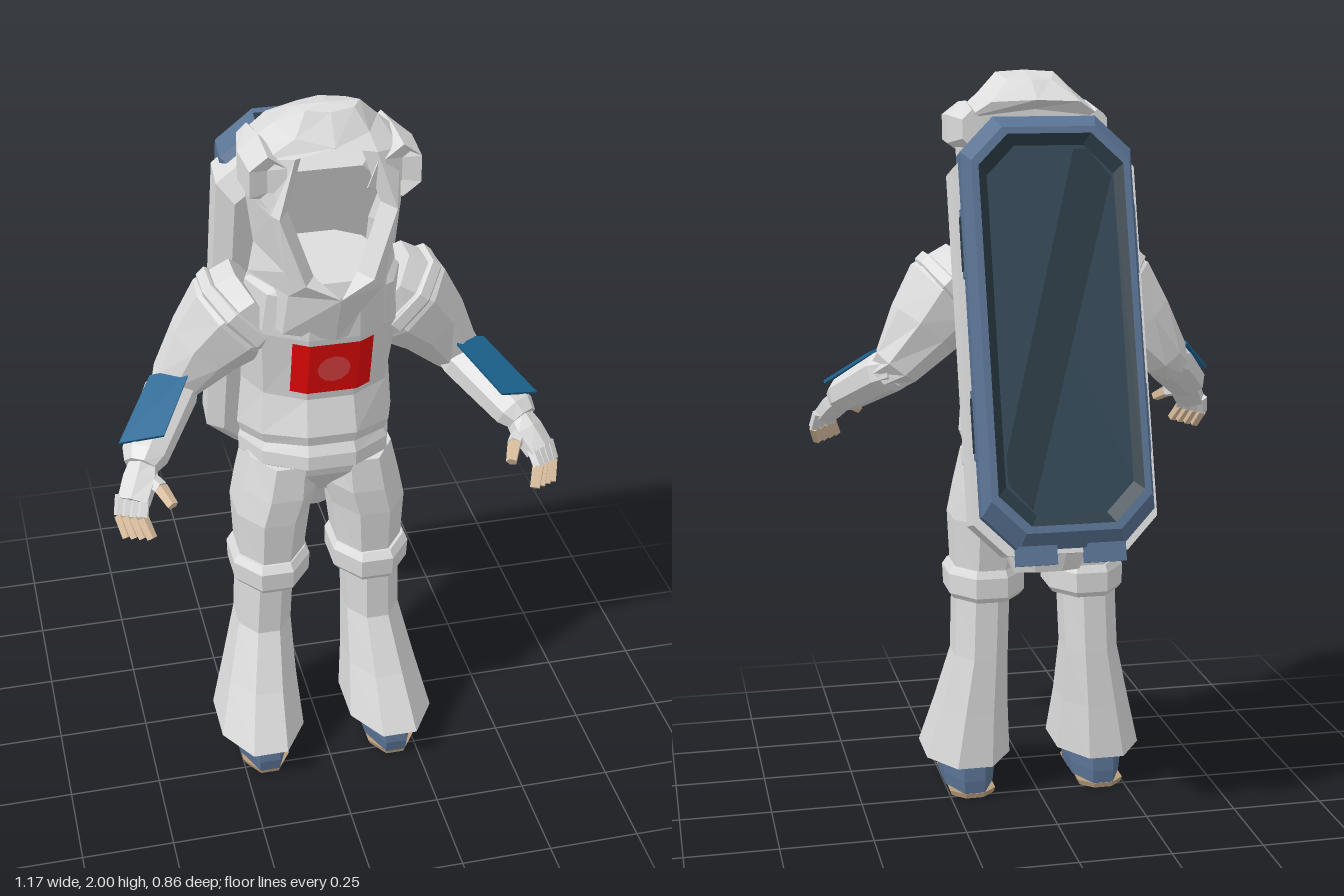
import * as THREE from 'three';

const mat = (name, color, side = THREE.FrontSide) =>
  Object.assign(new THREE.MeshStandardMaterial({ color, flatShading: true, side }), { name });

// Skin a stack of cross-sections; faces are turned outward by signed volume.
function loft(rings, { closed = true, caps = true } = {}) {
  const n = rings[0].length, tris = [];
  const V = rings.map(r => r.map(p => new THREE.Vector3(...p)));
  const mean = a => a.reduce((s, p) => s.add(p), new THREE.Vector3()).divideScalar(a.length);
  const mid = mean(V.flat());
  for (let i = 0; i < V.length - 1; i++)
    for (let j = 0; j < (closed ? n : n - 1); j++) {
      const k = (j + 1) % n;
      tris.push([V[i][j], V[i][k], V[i + 1][k]], [V[i][j], V[i + 1][k], V[i + 1][j]]);
    }
  if (closed && caps) {
    const a = V[0], b = V[V.length - 1], ca = mean(a), cb = mean(b);
    for (let j = 0; j < n; j++) {
      const k = (j + 1) % n;
      tris.push([ca, a[k], a[j]], [cb, b[j], b[k]]);
    }
  }
  let vol = 0;
  const d = p => p.clone().sub(mid);
  for (const [a, b, c] of tris) vol += d(a).dot(d(b).cross(d(c)));
  const pos = [];
  for (const t of tris) {
    const area = d(t[1]).sub(d(t[0])).cross(d(t[2]).sub(d(t[0]))).length();
    if (area < 1e-9) continue;
    for (const p of vol < 0 ? [t[0], t[2], t[1]] : t) pos.push(p.x, p.y, p.z);
  }
  const g = new THREE.BufferGeometry();
  g.setAttribute('position', new THREE.Float32BufferAttribute(pos, 3));
  g.computeVertexNormals();
  return g;
}

// Level or tilted polygon ring with a flat side to the front.
function ring(cx, yFront, yBack, rx, zf, zb, n = 10) {
  const k = 1 / Math.cos(Math.PI / n);
  return Array.from({ length: n }, (_, i) => {
    const a = (i + 0.5) / n * Math.PI * 2, c = Math.cos(a) * k;
    return [cx + Math.sin(a) * rx * (n % 4 ? 1 : k), yBack + (yFront - yBack) * (c + 1) / 2,
      (zf + zb) / 2 + c * (zf - zb) / 2];
  });
}

// Limb through stations [x, y, z, half width, half height].
function sweep(st, n = 8) {
  const P = st.map(s => new THREE.Vector3(s[0], s[1], s[2]));
  return loft(st.map((s, i) => {
    const dir = P[Math.min(i + 1, P.length - 1)].clone().sub(P[Math.max(i - 1, 0)]).normalize();
    const u = new THREE.Vector3(0, 1, 0).cross(dir).normalize(), v = dir.clone().cross(u);
    return Array.from({ length: n }, (_, j) => {
      const a = (j + 0.5) / n * Math.PI * 2;
      return P[i].clone().addScaledVector(u, Math.cos(a) * s[3]).addScaledVector(v, Math.sin(a) * s[4]).toArray();
    });
  }));
}

// Rectangle with cut corners at depth z.
const octagon = (w, h, c, z) => [[w - c, h], [w, h - c], [w, c - h], [w - c, -h],
  [c - w, -h], [-w, c - h], [-w, h - c], [c - w, h]].map(([x, y]) => [x, y, z]);

export function createModel() {
  const suit = mat('suit grey', 0xdcdcdc, THREE.DoubleSide);
  const blue = mat('pack blue', 0x5a7394);
  const dark = mat('panel dark', 0x334757);
  const streak = mat('panel streak', 0x2a3b45, THREE.DoubleSide);
  const red = mat('chest red', 0xff0a0a, THREE.DoubleSide);
  const badge = mat('badge red', 0xe84444);
  const teal = mat('forearm blue', 0x1c6592);
  const skin = mat('finger tan', 0xdcc0a0);
  const tan = mat('sole tan', 0xb89c7c);

  const model = new THREE.Group();
  const add = (name, geo, m, parent = model) => {
    const mesh = new THREE.Mesh(geo, m);
    mesh.name = name;
    parent.add(mesh);
    return mesh;
  };
  const box = (name, w, h, d, x, y, z, m, parent) =>
    add(name, new THREE.BoxGeometry(w, h, d).translate(x, y, z), m, parent);

  // Torso, belt and pelvis
  add('torso', loft([
    ring(0, 1.07, 0.95, 0.2, 0.24, -0.17), ring(0, 1.1, 0.99, 0.212, 0.248, -0.17),
    ring(0, 1.2, 1.18, 0.2, 0.222, -0.13), ring(0, 1.4, 1.4, 0.215, 0.268, -0.07),
    ring(0, 1.52, 1.52, 0.2, 0.28, -0.03), ring(0, 1.56, 1.57, 0.15, 0.27, 0)]), suit);
  add('belt', loft([ring(0, 0.99, 0.9, 0.2, 0.235, -0.18), ring(0, 1.0, 0.91, 0.208, 0.25, -0.19),
    ring(0, 1.04, 0.95, 0.208, 0.25, -0.19), ring(0, 1.07, 0.97, 0.195, 0.235, -0.18)]), suit);
  add('pelvis', loft([ring(0, 1.02, 0.93, 0.195, 0.225, -0.16), ring(0, 0.95, 0.86, 0.2, 0.205, -0.16),
    ring(0, 0.84, 0.76, 0.1, 0.11, -0.13)]), suit);
  add('seat', loft([ring(0, 0.88, 0.84, 0.14, 0.03, -0.165, 8), ring(0, 0.75, 0.76, 0.12, -0.02, -0.155, 8),
    ring(0, 0.67, 0.68, 0.09, -0.06, -0.14, 8)]), suit);

  // Hood, open at the face: each half section runs from the rim round to the back
  const hoodHalves = [
    [[0, 1.40, 0.275], [0.13, 1.42, 0.25], [0.2, 1.44, 0.1], [0.14, 1.42, -0.05], [0, 1.42, -0.06]],
    [[0, 1.545, 0.335], [0.12, 1.54, 0.275], [0.19, 1.54, 0.12], [0.14, 1.53, -0.02], [0, 1.53, -0.03]],
    [[0.085, 1.585, 0.32], [0.13, 1.61, 0.28], [0.175, 1.62, 0.12], [0.14, 1.6, 0], [0, 1.6, 0]],
    [[0.145, 1.76, 0.3], [0.16, 1.76, 0.27], [0.195, 1.76, 0.13], [0.17, 1.76, 0.03], [0, 1.76, 0.035]],
    [[0.1, 1.9, 0.27], [0.165, 1.89, 0.235], [0.205, 1.88, 0.13], [0.18, 1.88, 0.035], [0, 1.9, 0.04]],
    [[0, 1.915, 0.26], [0.09, 1.935, 0.23], [0.13, 1.945, 0.15], [0.12, 1.92, 0.02], [0, 1.925, 0.005]],
    [[0, 1.985, 0.21], [0.06, 1.99, 0.2], [0.08, 1.995, 0.17], [0.06, 1.975, 0.1], [0, 1.975, 0.08]],
    Array(5).fill([0, 2, 0.18])];
  add('hood', loft(hoodHalves.map((h, i) => {
    const [x, y, z] = h[0];
    const inner = i > 1 && i < 5 ? [Math.max(x - 0.03, 0), y, z - 0.05] : h[0];
    const half = [inner, ...h];
    return [...half, ...half.slice(0, -1).reverse().map(p => [-p[0], p[1], p[2]])];
  }), { closed: false }), suit);
  add('visorShard', loft([[[0.045, 1.865, 0.385], [0.085, 1.9, 0.325], [0.075, 1.84, 0.345]],
    [[0.047, 1.867, 0.387], [0.087, 1.902, 0.327], [0.077, 1.842, 0.347]]]), suit);

  // Chest plate with round badge
  add('chestPlate', loft([[1.23, 0.23], [1.31, 0.249], [1.39, 0.2665]].map(([y, z]) =>
    [[-0.105, -0.015], [-0.065, 0.01], [0.065, 0.01], [0.105, -0.015]].map(([x, dz]) => [x, y, z + dz])),
    { closed: false }), red);
  const disc = add('chestBadge', new THREE.CircleGeometry(0.043, 12), badge);
  disc.position.set(0, 1.31, 0.263);
  disc.rotation.x = 0.225;

  for (const s of [-1, 1]) {
    const side = new THREE.Group();
    side.name = s > 0 ? 'leftSide' : 'rightSide';
    model.add(side);
    const limb = (name, st, m, n) => add(name, sweep(st.map(p => [p[0] * s, ...p.slice(1)]), n), m, side);
    const leg = (name, rows, m) => add(name, loft(rows.map(([y, cx, rx, zf, zb]) =>
      ring(cx * s, y, y, rx * 0.93, zf, zb, 8))), m, side);

    // Hood side lamp
    limb('hoodLamp', [[0.17, 1.85, 0.03, 0.03, 0.05], [0.165, 1.845, 0.15, 0.06, 0.075],
      [0.165, 1.845, 0.27, 0.052, 0.068], [0.165, 1.845, 0.25, 0.036, 0.05]], suit, 6);

    // Trousers, knee cuff, boot and sole
    leg('thigh', [[0.98, 0.1, 0.1, 0.205, -0.08], [0.88, 0.112, 0.112, 0.21, -0.08],
      [0.8, 0.132, 0.108, 0.205, -0.07], [0.64, 0.138, 0.095, 0.185, -0.045]], suit);
    leg('kneeCuff', [[0.575, 0.14, 0.1, 0.195, -0.05], [0.59, 0.14, 0.112, 0.205, -0.06],
      [0.645, 0.14, 0.114, 0.21, -0.06], [0.665, 0.14, 0.102, 0.195, -0.05]], suit);
    leg('lowerLeg', [[0.6, 0.15, 0.08, 0.172, -0.042], [0.41, 0.157, 0.08, 0.162, -0.045],
      [0.25, 0.174, 0.102, 0.237, -0.047], [0.1, 0.188, 0.127, 0.32, -0.05]], suit);
    leg('boot', [[0.013, 0.185, 0.073, 0.288, -0.022], [0.05, 0.185, 0.077, 0.295, -0.025], [0.12, 0.185, 0.077, 0.285, -0.02]], blue);
    leg('frontSole', [[0, 0.185, 0.066, 0.284, 0.1], [0.014, 0.185, 0.072, 0.287, 0.095]], tan);
    leg('heelSole', [[0, 0.185, 0.064, 0.094, -0.021], [0.014, 0.185, 0.069, 0.097, -0.024]], tan);

    // Sleeve
    limb('upperArm', [[0.16, 1.45, 0.09, 0.11, 0.12], [0.235, 1.395, 0.09, 0.12, 0.135],
      [0.3, 1.32, 0.08, 0.1, 0.105], [0.375, 1.22, 0.075, 0.074, 0.07], [0.4, 1.19, 0.09, 0.055, 0.055]], suit);
    limb('shoulderSeam', [[0.195, 1.43, 0.09, 0.122, 0.132], [0.2, 1.425, 0.09, 0.128, 0.141],
      [0.222, 1.405, 0.09, 0.128, 0.141], [0.23, 1.398, 0.09, 0.118, 0.13]], suit);
    limb('forearm', [[0.365, 1.215, 0.06, 0.055, 0.05], [0.395, 1.2, 0.105, 0.072, 0.062],
      [0.49, 1.115, 0.255, 0.062, 0.052], [0.505, 1.1, 0.28, 0.045, 0.04]], suit);
    const quad = [[0.447, 1.247, 0.095], [0.345, 1.28, 0.135], [0.443, 1.182, 0.283], [0.553, 1.148, 0.242]];
    add('forearmPlate', loft([0, 0.008].map(o => quad.map(([x, y, z]) => [x * s, y + o, z + o / 2]))), teal, side);

    // Glove with curled fingers and tan tips
    limb('palm', [[0.495, 1.105, 0.27, 0.038, 0.034], [0.51, 1.08, 0.305, 0.048, 0.034],
      [0.535, 1.04, 0.345, 0.046, 0.028]], suit, 6);
    for (let i = 0; i < 4; i++) {
      const mix = (a, b) => THREE.MathUtils.lerp(a, b, i / 3);
      const base = [mix(0.563, 0.51), 1.05, mix(0.32, 0.355), 0.016, 0.016];
      const knuckle = [mix(0.572, 0.52), mix(1.005, 1.015), mix(0.345, 0.385), 0.016, 0.016];
      const tip = [mix(0.56, 0.503), mix(0.96, 0.972), mix(0.382, 0.418), 0.014, 0.014];
      limb('finger', [base, knuckle], suit, 5);
      limb('fingerTip', [knuckle, tip], skin, 5);
    }
    limb('thumb', [[0.49, 1.08, 0.31, 0.022, 0.022], [0.465, 1.07, 0.345, 0.02, 0.02]], suit, 5);
    limb('thumbTip', [[0.465, 1.07, 0.345, 0.019, 0.019], [0.443, 1.045, 0.392, 0.015, 0.015]], skin, 5);
  }

  // Tilted back pack: padded shell, framed slab and recessed panel
  const pack = new THREE.Group();
  pack.name = 'backPack';
  pack.position.set(0, 1.345, -0.216);
  pack.rotation.x = 0.296;
  model.add(pack);
  add('packShell', loft([octagon(0.243, 0.545, 0.085, 0.02), octagon(0.245, 0.545, 0.085, 0.1),
    octagon(0.205, 0.52, 0.09, 0.15)].map(r => r.map(([x, y, z]) => [x, y - 0.027, z]))), suit, pack);
  add('packFrame', loft([octagon(0.212, 0.545, 0.08, 0.066), octagon(0.226, 0.56, 0.09, 0.045),
    octagon(0.226, 0.56, 0.09, -0.02), octagon(0.208, 0.52, 0.085, -0.07),
    octagon(0.188, 0.5, 0.08, -0.07), octagon(0.166, 0.475, 0.075, -0.05)]), blue, pack);
  add('panelRim', loft([octagon(0.19, 0.502, 0.08, -0.0725), octagon(0.164, 0.472, 0.075, -0.052)], { caps: false }),
    streak, pack);
  add('packPanel', loft([octagon(0.17, 0.478, 0.075, -0.046), octagon(0.17, 0.478, 0.075, -0.054)]), dark, pack);
  add('panelStreak', loft([-0.054, -0.057].map(z => [[-0.16, 0.39], [-0.1, 0.465], [-0.065, 0.465],
    [0.16, -0.32], [0.16, -0.39], [0.1, -0.46]].map(([x, y]) => [x, y, z]))), streak, pack);
  for (const s of [-1, 1]) {
    for (const y of [-0.235, 0.235]) {
      box('sideSlotFrame', 0.008, 0.18, 0.05, s * 0.226, y, 0.012, blue, pack);
      box('sideSlot', 0.008, 0.14, 0.026, s * 0.228, y, 0.012, streak, pack);
    }
    box('topVent', 0.12, 0.008, 0.035, s * 0.075, 0.559, 0.015, streak, pack);
    box('topVentBar', 0.08, 0.009, 0.012, s * 0.075, 0.561, 0.008, blue, pack);
    box('packFoot', 0.1, 0.05, 0.06, s * 0.09, -0.575, -0.005, blue, pack);
  }
  return model;
}
